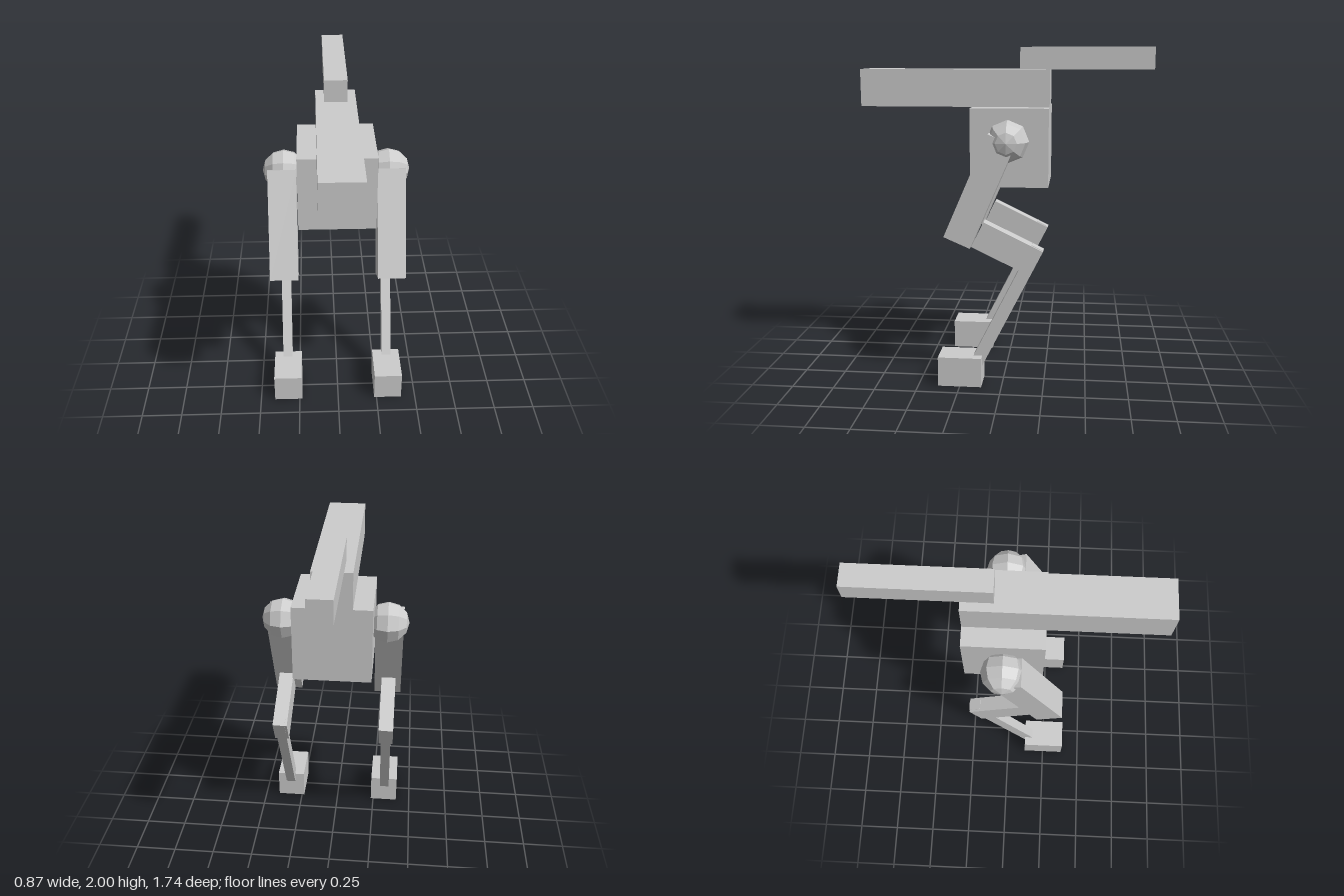
import * as THREE from 'three';

const grey = new THREE.MeshStandardMaterial({ color: 0xcccccc, flatShading: true });

function add(parent, name, geometry, x, y, z, tilt = 0) {
  const mesh = new THREE.Mesh(geometry, grey);
  mesh.name = name;
  mesh.position.set(x, y, z);
  mesh.rotation.x = tilt;
  parent.add(mesh);
  return mesh;
}

// Box given by its extents in y and z, centred on x
function block(parent, name, x, width, y0, y1, z0, z1) {
  return add(parent, name, new THREE.BoxGeometry(width, y1 - y0, z1 - z0),
    x, (y0 + y1) / 2, (z0 + z1) / 2);
}

// Square-ended limb running between two [y, z] points
function limb(parent, name, x, width, depth, [ya, za], [yb, zb]) {
  const length = Math.hypot(yb - ya, zb - za);
  return add(parent, name, new THREE.BoxGeometry(width, length, depth),
    x, (ya + yb) / 2, (za + zb) / 2, Math.atan2(zb - za, yb - ya));
}

function makeLeg(side) {
  const leg = new THREE.Group();
  leg.name = side > 0 ? 'leftLeg' : 'rightLeg';
  const x = side * 0.32;

  // Faceted hip ball with its poles pointing sideways
  const ball = new THREE.SphereGeometry(0.125, 8, 6).rotateZ(Math.PI / 2);
  add(leg, 'hipJoint', ball, side * 0.31, 1.467, -0.03);

  // Three zigzag limb sections
  limb(leg, 'thigh', x, 0.167, 0.168, [0.886, 0.258], [1.485, -0.002]);
  limb(leg, 'middleLeg', side * 0.325, 0.088, 0.165, [0.93, 0.142], [0.761, -0.204]);
  limb(leg, 'lowerLeg', side * 0.325, 0.06, 0.075, [0.094, 0.172], [0.853, -0.21]);

  block(leg, 'foot', side * 0.322, 0.175, 0, 0.18, 0.12, 0.38);
  return leg;
}

export function createModel() {
  const model = new THREE.Group();
  model.name = 'bipedWalker';

  block(model, 'body', 0, 0.46, 1.187, 1.65, -0.262, 0.2);
  block(model, 'headBeam', 0, 0.234, 1.65, 1.87, -0.262, 0.872);
  block(model, 'rearBoom', 0, 0.134, 1.87, 2, -0.872, -0.083);

  for (const side of [1, -1]) model.add(makeLeg(side));
  return model;
}
